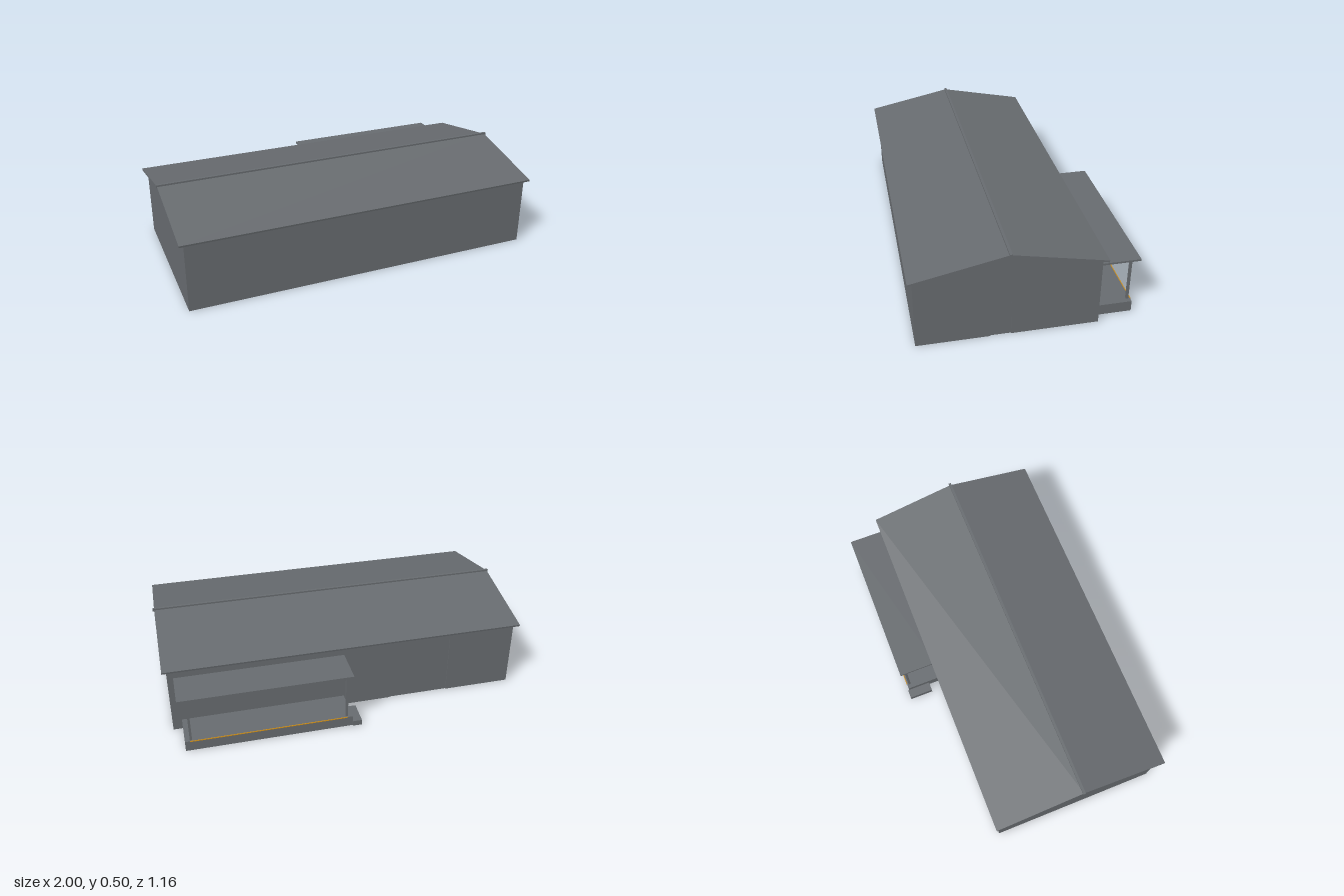
import * as THREE from 'three';

export function createModel() {
  const model = new THREE.Group();
  const grey = new THREE.MeshStandardMaterial({ name: 'slateGrey', color: 0x676b6f });
  const amber = new THREE.MeshStandardMaterial({ name: 'amberStripe', color: 0xc58a1c });

  const add = (name, geometry, material = grey) => {
    const mesh = new THREE.Mesh(geometry, material);
    mesh.name = name;
    model.add(mesh);
    return mesh;
  };
  // Box given by its limits on each axis
  const box = (name, [x0, x1], [y0, y1], [z0, z1], material) =>
    add(name, new THREE.BoxGeometry(x1 - x0, y1 - y0, z1 - z0), material)
      .position.set((x0 + x1) / 2, (y0 + y1) / 2, (z0 + z1) / 2);
  // Profile of [z, y] points extruded along x
  const extrudeX = (name, points, x0, x1) => {
    const shape = new THREE.Shape(points.map(([z, y]) => new THREE.Vector2(-z, y)));
    const geometry = new THREE.ExtrudeGeometry(shape, { depth: x1 - x0, bevelEnabled: false });
    geometry.rotateY(Math.PI / 2).translate(x0, 0, 0);
    return add(name, geometry);
  };

  const ridgeZ = 0.093, front = 0.557, back = -0.37, halfX = 0.967;
  const eave = 0.383, peak = 0.478, skin = 0.005;

  // Gabled hall
  extrudeX('hallBody', [[back + skin, 0], [front, 0], [front, eave], [ridgeZ, peak], [back + skin, eave]],
    -halfX, halfX - skin);

  // End wall around a shallow recessed door
  extrudeX('endWall', [[back, 0], [0.08, 0], [0.08, 0.2], [0.185, 0.2], [0.185, 0],
    [front, 0], [front, eave], [ridgeZ, peak], [back, eave]], halfX - skin, halfX);

  // Back wall around a shallow recessed gate
  box('backWall', [-halfX, -0.59], [0, eave], [back, back + skin]);
  box('backWall', [-0.25, halfX - skin], [0, eave], [back, back + skin]);
  box('gateLintel', [-0.59, -0.25], [0.34, eave], [back, back + skin]);

  // Two roof slopes and the ridge cap
  for (const side of [1, -1]) {
    const edge = ridgeZ + side * 0.488;
    const points = [[ridgeZ, 0.478], [ridgeZ, 0.489], [edge, 0.389], [edge - side * 0.002, 0.379]];
    extrudeX('roofSlope', points, -0.993, 0.99);
  }
  box('ridgeCap', [-0.998, 0.998], [0.482, 0.497], [ridgeZ - 0.007, ridgeZ + 0.007]);

  // Loading platform with step, edge stripe, posts and canopy
  box('platform', [0.02, 0.917], [0, 0.059], [-0.563, back]);
  box('step', [-0.03, 0.02], [0, 0.03], [-0.57, -0.435]);
  box('edgeStripe', [0.05, 0.89], [0.056, 0.06], [-0.566, -0.561], amber);
  for (const x of [0.05, 0.885])
    box('canopyPost', [x - 0.006, x + 0.006], [0.059, 0.324], [-0.554, -0.541]);
  box('canopy', [0.02, 0.935], [0.322, 0.332], [-0.581, back]);

  return model;
}
